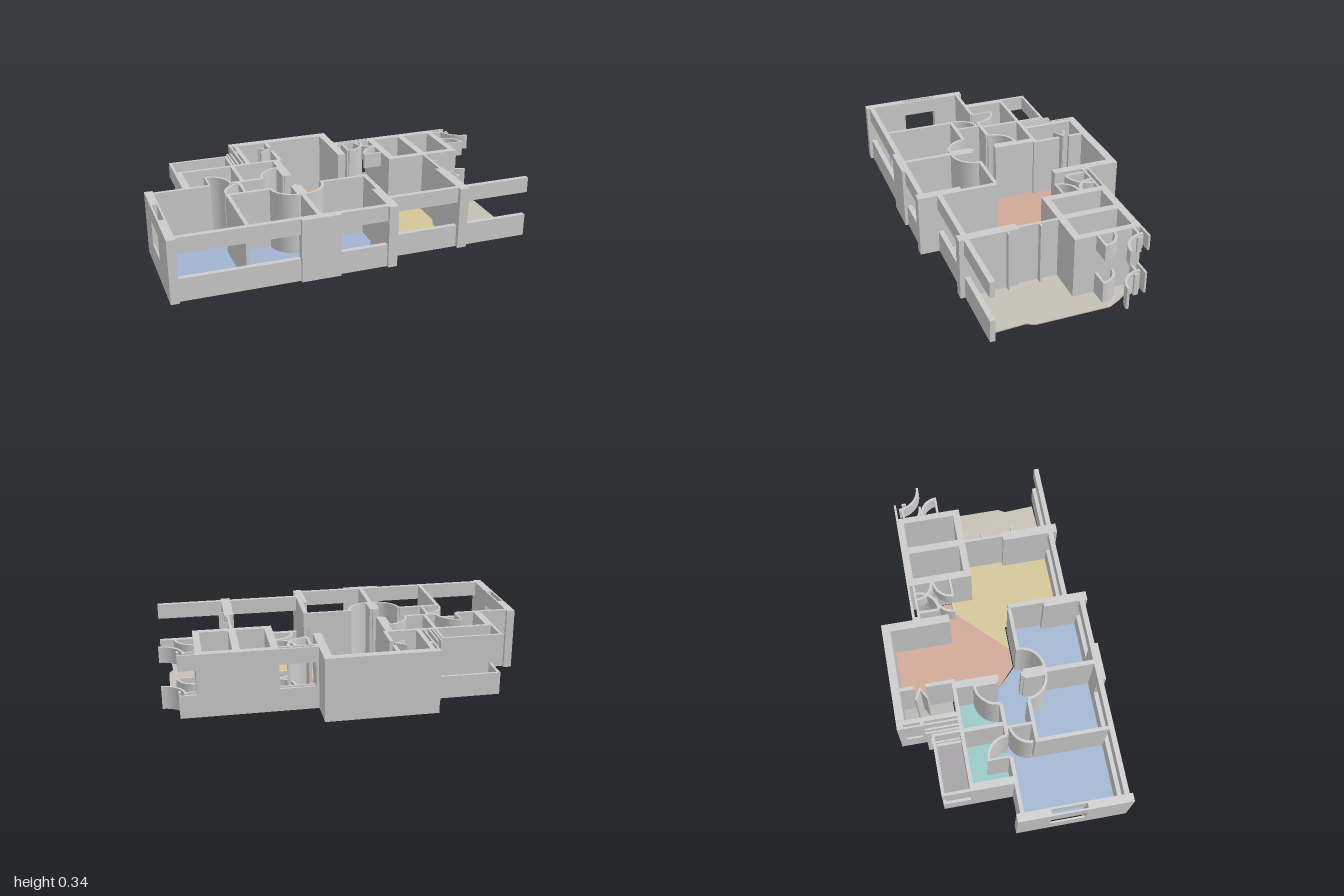
import * as THREE from 'three';

const H = 0.345, SILL = 0.125, HEAD = 0.26;
const FULL = [[0, H]], BANDS = [[0, SILL], [HEAD, H]];

export function createModel() {
  const model = new THREE.Group();
  const wallMat = new THREE.MeshStandardMaterial({ color: 0xcccccc });

  function add(parent, name, geo, mat = wallMat) {
    const mesh = new THREE.Mesh(geo, mat);
    mesh.name = name;
    parent.add(mesh);
  }
  // boxes given by plan rectangle [x0, x1, z0, z1], one per height range
  function walls(name, rects, ranges = FULL) {
    const group = new THREE.Group();
    group.name = name;
    for (const [x0, x1, z0, z1] of rects) {
      for (const [y0, y1] of ranges) {
        const g = new THREE.BoxGeometry(x1 - x0, y1 - y0, z1 - z0);
        g.translate((x0 + x1) / 2, (y0 + y1) / 2, (z0 + z1) / 2);
        add(group, name, g);
      }
    }
    model.add(group);
  }
  // plan shape (with y = -z) raised from y0 to y1
  function raise(shape, y0, y1) {
    const g = new THREE.ExtrudeGeometry(shape, { depth: y1 - y0, bevelEnabled: false, curveSegments: 8 });
    g.rotateX(-Math.PI / 2);
    g.translate(0, y0, 0);
    return g;
  }
  function floor(name, color, pts) {
    const shape = new THREE.Shape(pts.map(([x, z]) => new THREE.Vector2(x, -z)));
    add(model, name, raise(shape, 0, 0.006), new THREE.MeshStandardMaterial({ color }));
  }
  const rect = (x0, x1, z0, z1) => [[x0, z0], [x1, z0], [x1, z1], [x0, z1]];
  // quarter-circle door sweep, starting at angle a (degrees, 90 = towards -z)
  function sweep(name, cx, cz, r, a, ranges = FULL) {
    const s = THREE.MathUtils.degToRad(a), e = s + Math.PI / 2, t = 0.014;
    const shape = new THREE.Shape();
    shape.absarc(cx, -cz, r, s, e, false);
    shape.absarc(cx, -cz, r - t, e, s, true);
    for (const [y0, y1] of ranges) add(model, name, raise(shape, y0, y1));
  }

  // floors
  floor('bedroomFloor', 0xa0b4d0, [[-0.955, -0.01], [-0.2, -0.01], [-0.06, 0.13],
    [0.165, 0.13], [0.165, 0.33], [0.14, 0.33], [0.14, 0.525], [-0.955, 0.525]]);
  floor('bathroomFloor', 0x98c6c6, rect(-0.76, -0.24, -0.23, -0.01));
  floor('diningFloor', 0xd0a898, [[-0.185, -0.53], [0.145, -0.53], [0.145, -0.21], [0.19, -0.2],
    [0.3, -0.25], [0.39, -0.34], [0.39, -0.155], [0.32, -0.15], [0.05, 0.12], [-0.06, 0.12],
    [-0.2, -0.01], [-0.2, -0.25], [-0.185, -0.25]]);
  floor('livingRoomFloor', 0xd4c698, [[0.05, 0.12], [0.32, -0.15], [0.4, -0.15], [0.4, -0.04],
    [0.605, -0.04], [0.605, 0.18], [0.58, 0.18], [0.58, 0.44], [0.19, 0.44], [0.19, 0.12]]);
  floor('entryFloor', 0xc0bca8, [[0.2, -0.35], [0.39, -0.35], [0.3, -0.25], [0.2, -0.21]]);
  floor('kitchenFloor', 0xb4b8ae, rect(-0.365, -0.205, -0.53, -0.255));
  floor('serviceBalconyFloor', 0xa2a0a2, rect(-0.785, -0.48, -0.385, -0.25));
  floor('terraceFloor', 0xc6c0b6, [[0.62, -0.04], [0.82, -0.04], [0.82, -0.34], [0.88, -0.31],
    [0.92, -0.25], [0.957, -0.18], [0.957, 0.22], [0.935, 0.26], [0.945, 0.43], [0.62, 0.44]]);
  for (const [x0, x1] of [[0.435, 0.59], [0.63, 0.785]])
    floor('shaftFloor', 0xa2a0aa, rect(x0, x1, -0.36, -0.075));

  // solid outer walls
  walls('outerWall', [
    [-1, -0.955, -0.04, 0.14], [-1, -0.955, 0.33, 0.57],
    [-0.955, -0.8, -0.02, 0],
    [-0.33, -0.12, 0.525, 0.57],
    [0.14, 0.19, 0.325, 0.57], [0.165, 0.19, 0.13, 0.325],
    [0.58, 0.632, 0.18, 0.49], [0.605, 0.62, -0.04, 0.18],
    [-0.39, 0.19, -0.575, -0.53], [0.145, 0.19, -0.53, -0.2],
    [-0.39, -0.365, -0.53, -0.23],
  ]);
  // side window, built as two skins
  walls('sideWindow', [[-1, -0.99, 0.14, 0.33], [-0.965, -0.955, 0.14, 0.33]], BANDS);
  // front windows: sill and lintel bands
  walls('frontWindow', [
    [-0.955, -0.33, 0.525, 0.553], [-0.12, 0.14, 0.525, 0.553],
    [0.19, 0.58, 0.438, 0.465], [0.632, 1, 0.438, 0.465],
  ], BANDS);

  // lift shaft block
  walls('shaftWall', [
    [0.395, 0.82, -0.4, -0.36], [0.395, 0.82, -0.075, -0.037],
    [0.395, 0.435, -0.36, -0.075], [0.59, 0.63, -0.36, -0.075], [0.785, 0.82, -0.36, -0.075],
  ]);

  // bathrooms and service balcony
  walls('bathroomWall', [
    [-0.8, -0.76, -0.25, 0], [-0.76, -0.2, -0.25, -0.23], [-0.485, -0.465, -0.23, 0],
    [-0.24, -0.2, -0.23, 0], [-0.76, -0.66, -0.02, 0], [-0.54, -0.485, -0.02, 0],
    [-0.465, -0.37, -0.02, 0],
  ]);
  walls('serviceBalconyRail', [
    [-0.8, -0.465, -0.4, -0.385], [-0.8, -0.785, -0.385, -0.25], [-0.48, -0.465, -0.385, -0.25],
  ], BANDS);
  walls('kitchenWindowFrame', [
    [-0.46, -0.45, -0.43, -0.25], [-0.44, -0.43, -0.43, -0.25], [-0.412, -0.402, -0.55, -0.25],
  ], BANDS);
  walls('kitchenWindowPost', [
    [-0.46, -0.45, -0.43, -0.41], [-0.44, -0.43, -0.43, -0.41], [-0.412, -0.39, -0.575, -0.54],
    [-0.412, -0.39, -0.45, -0.43],
  ]);
  walls('kitchenDivider', [[-0.205, -0.185, -0.53, -0.45], [-0.205, -0.185, -0.39, -0.23]]);
  for (const s of [-1, 1]) {
    const g = new THREE.BoxGeometry(0.07, H, 0.01);
    g.rotateY(s * 0.5);
    g.translate(-0.235, H / 2, -0.42 + s * 0.016);
    add(model, 'kitchenDoorLeaf', g);
  }

  // bedroom partitions
  walls('bedroomWall', [
    [-0.605, -0.37, 0.13, 0.15], [-0.605, -0.585, 0.15, 0.525], [-0.235, -0.21, 0.125, 0.525],
    [-0.085, 0.165, 0.125, 0.145], [-0.505, -0.49, 0, 0.13],
  ]);

  // interior door sweeps and leaves
  sweep('bathDoorSweep', -0.66, -0.01, 0.125, 0);
  sweep('bathDoorSweep', -0.24, -0.01, 0.13, 90);
  sweep('bedroomDoorSweep', -0.49, 0.12, 0.115, 90);
  sweep('bedroomDoorSweep', -0.24, 0.135, 0.13, 180);
  sweep('bedroomDoorSweep', -0.2, 0.135, 0.13, 270);
  walls('doorLeaf', [
    [-0.66, -0.65, -0.135, -0.01], [-0.25, -0.24, -0.14, -0.01],
    [-0.25, -0.235, 0.14, 0.265], [-0.21, -0.195, 0.14, 0.265],
  ]);

  // entrance frames and door
  walls('entranceFrame', [[0.19, 0.395, -0.4, -0.388], [0.19, 0.395, -0.37, -0.358]], BANDS);
  walls('entrancePost', [[0.19, 0.205, -0.4, -0.355], [0.22, 0.235, -0.355, -0.25]]);
  sweep('entranceDoorSweep', 0.23, -0.36, 0.12, 270);
  sweep('entranceDoorSweep', 0.4, -0.358, 0.1, 180, BANDS);

  // door sweeps beside the shaft, split by the window opening
  sweep('shaftDoorSweep', 0.395, -0.155, 0.105, 90, BANDS);
  sweep('shaftDoorSweep', 0.82, -0.155, 0.1, 0, BANDS);
  walls('shaftDoorLeaf', [[0.29, 0.395, -0.165, -0.153], [0.82, 0.92, -0.165, -0.153]], BANDS);

  // terrace gate at the rear corner
  walls('terraceGate', [
    [0.82, 0.91, -0.4, -0.388], [0.82, 0.88, -0.36, -0.348], [0.9, 0.912, -0.355, -0.33],
  ], BANDS);
  sweep('terraceGateSweep', 1, -0.375, 0.13, 180, BANDS);
  walls('terraceDoorStop', [[0.62, 0.65, 0.06, 0.07], [0.632, 0.66, 0.235, 0.245]]);
  return model;
}
